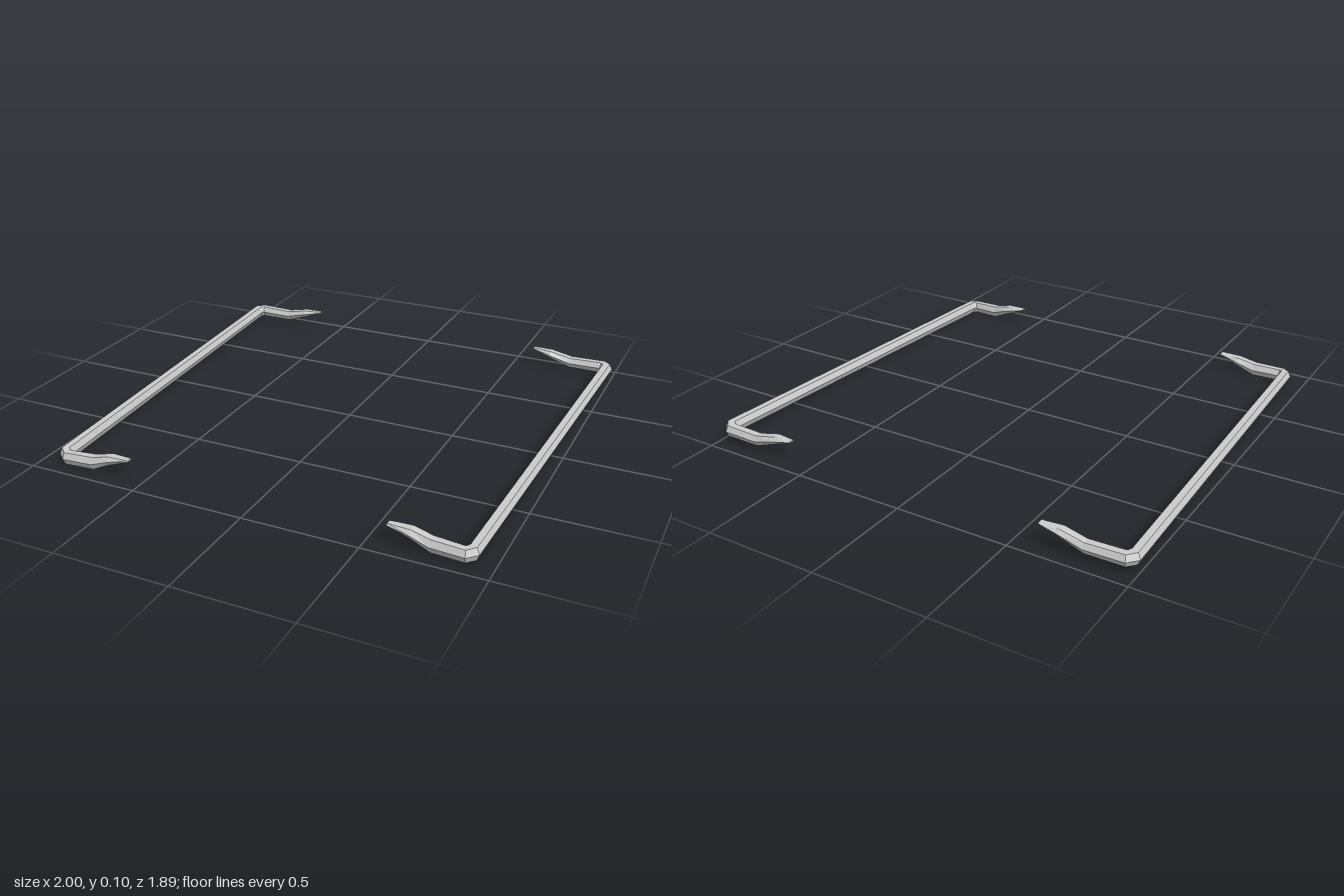
import * as THREE from 'three';

// Hexagonal cross-sections: [outer x, outer z, inner x, inner z, bottom y, top y]
const FRONT = [
  [0.575, 0.925, 0.575, 0.885, 0.073, 0.08],
  [0.67, 0.932, 0.67, 0.87, 0.039, 0.078],
  [0.75, 0.936, 0.75, 0.878, 0.004, 0.06],
  [0.89, 0.942, 0.875, 0.89, 0.002, 0.056],
  [0.932, 0.905, 0.88, 0.885, 0.004, 0.06],
];
const BACK = [
  [1.0, -0.905, 0.945, -0.885, 0.03, 0.083],
  [0.96, -0.947, 0.94, -0.892, 0.03, 0.081],
  [0.79, -0.949, 0.79, -0.893, 0.03, 0.077],
  [0.69, -0.948, 0.69, -0.887, 0.064, 0.098],
  [0.6, -0.94, 0.6, -0.905, 0.094, 0.1],
];

// Six corners of one section, flat on top and pointed at the sides
function ring([xo, zo, xi, zi, yb, yt], side) {
  const mid = (yb + yt) / 2;
  return [[0, mid], [0.22, yt], [0.78, yt], [1, mid], [0.78, yb], [0.22, yb]].map(([t, y]) => [
    side * (xo + (xi - xo) * t), y, zo + (zi - zo) * t,
  ]);
}

// Skin between successive sections, with optional end caps
function loft(sections, side, capStart, capEnd) {
  const position = [];
  const rings = sections.map((s) => ring(s, side));
  const tri = (a, b, c) => position.push(...a, ...(side > 0 ? b : c), ...(side > 0 ? c : b));
  for (let i = 0; i < rings.length - 1; i++) {
    const r = rings[i], s = rings[i + 1];
    for (let j = 0; j < 6; j++) {
      const k = (j + 1) % 6;
      tri(r[j], s[j], r[k]);
      tri(r[k], s[j], s[k]);
    }
  }
  const first = rings[0], last = rings[rings.length - 1];
  for (let j = 1; j < 5; j++) {
    if (capStart) tri(first[0], first[j], first[j + 1]);
    if (capEnd) tri(last[0], last[j + 1], last[j]);
  }
  const geometry = new THREE.BufferGeometry();
  geometry.setAttribute('position', new THREE.Float32BufferAttribute(position, 3));
  geometry.computeVertexNormals();
  return geometry;
}

export function createModel() {
  const model = new THREE.Group();
  model.name = 'sideRails';
  const material = new THREE.MeshStandardMaterial({ color: 0xcccccc, flatShading: true });

  for (const side of [1, -1]) {
    const bar = new THREE.Group();
    bar.name = side > 0 ? 'leftBar' : 'rightBar';
    const add = (name, geometry) => {
      const mesh = new THREE.Mesh(geometry, material);
      mesh.name = name;
      bar.add(mesh);
    };
    // Bent ends with upturned wedge tips, joined by a long straight rail
    add('frontHook', loft(FRONT, side, true, false));
    add('rail', loft([FRONT[4], BACK[0]], side, false, false));
    add('backHook', loft(BACK, side, false, true));
    model.add(bar);
  }
  return model;
}
